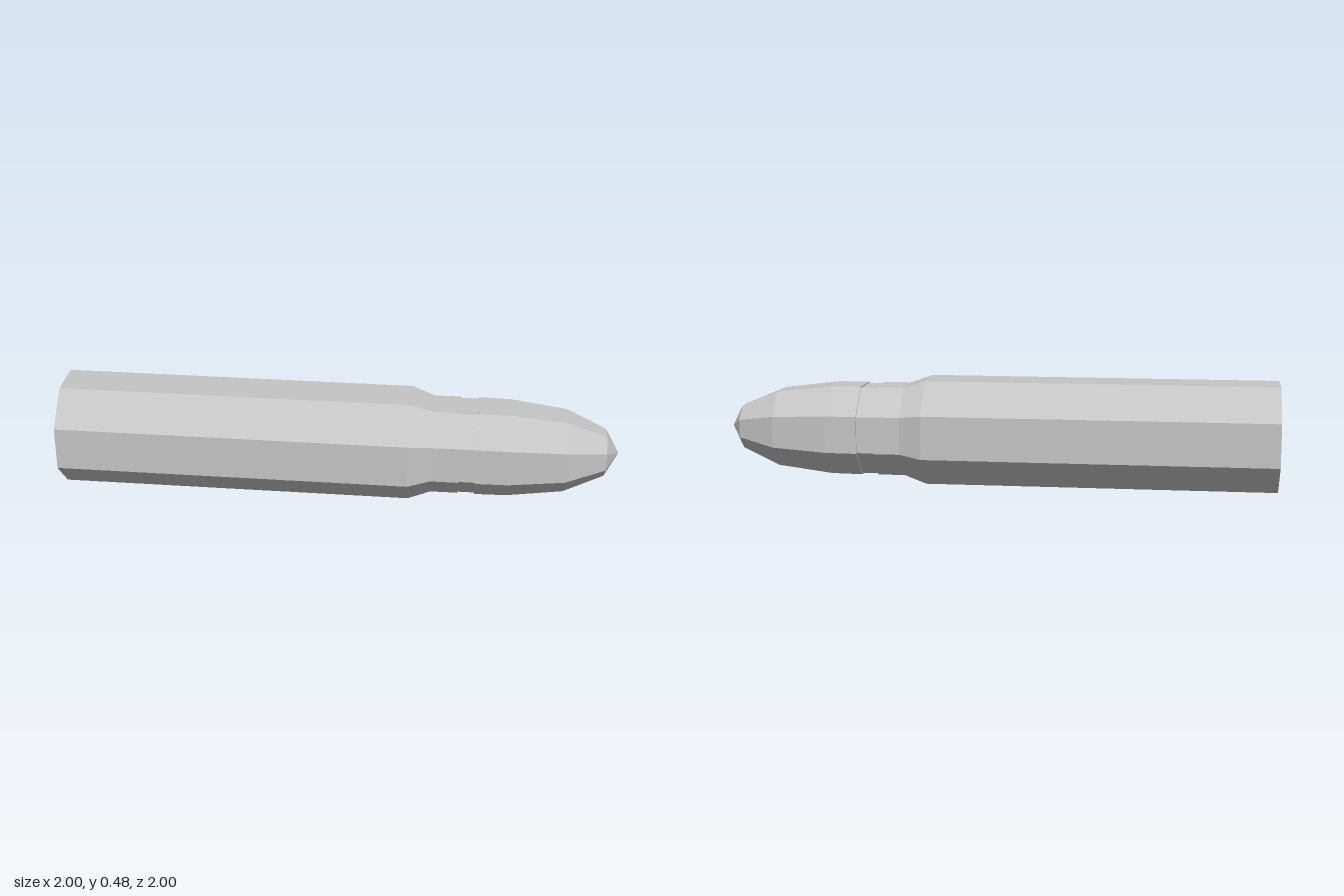
import * as THREE from 'three';

export function createModel() {
  const model = new THREE.Group();
  model.name = 'cartridge';
  const metal = new THREE.MeshStandardMaterial({ color: 0xc4c4c4, flatShading: true });
  metal.name = 'grey metal';

  // Eight-sided part from [distance along axis, half width across flats]
  const part = (name, profile) => {
    const points = profile.map(([t, a]) => new THREE.Vector2(a / Math.cos(Math.PI / 8), t));
    const geometry = new THREE.LatheGeometry(points, 8, Math.PI / 8);
    const mesh = new THREE.Mesh(geometry, metal);
    mesh.name = name;
    axis.add(mesh);
  };

  // Lay the long axis flat, pointing to the back left corner
  const axis = new THREE.Group();
  axis.name = 'round';
  axis.rotation.set(-Math.PI / 2, -Math.PI / 4, 0, 'YXZ');
  axis.position.y = 0.24;
  model.add(axis);

  // Casing with flat base, shoulder and neck
  part('casing', [[-1.174, 0], [-1.174, 0.24], [0.431, 0.24], [0.534, 0.205], [0.658, 0.205], [0.658, 0.2]]);

  // Shallow groove between neck and bullet
  part('groove', [[0.658, 0.2], [0.735, 0.2]]);

  // Bullet tapering to a blunt point
  part('bullet', [[0.735, 0.2], [0.735, 0.206], [0.88, 0.204], [1.135, 0.174], [1.315, 0.099], [1.375, 0]]);

  return model;
}
